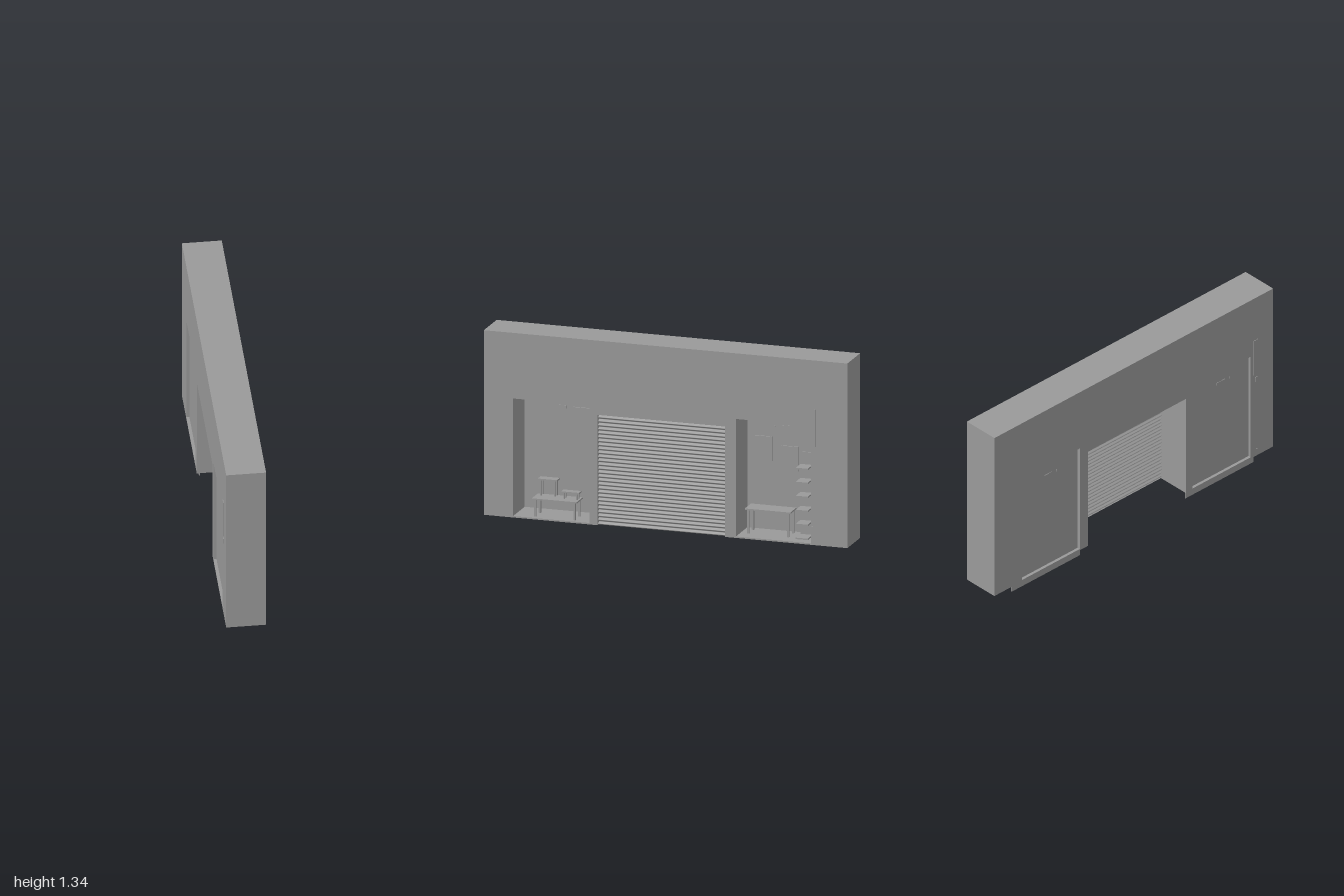
import * as THREE from 'three';

export function createModel() {
  const model = new THREE.Group();
  model.name = 'shopFront';
  const building = new THREE.Group();
  building.name = 'building';
  building.rotation.y = Math.PI / 4; // the wall runs diagonally
  model.add(building);

  const grey = new THREE.MeshStandardMaterial({ color: 0x999999 });
  grey.name = 'plain grey';
  const sheetGrey = new THREE.MeshStandardMaterial({ color: 0x999999, side: THREE.DoubleSide });
  sheetGrey.name = 'plain grey sheet';

  // Box given by its limits along each axis
  function box(name, x0, x1, y0, y1, z0, z1, parent = building) {
    const mesh = new THREE.Mesh(new THREE.BoxGeometry(x1 - x0, y1 - y0, z1 - z0), grey);
    mesh.position.set((x0 + x1) / 2, (y0 + y1) / 2, (z0 + z1) / 2);
    mesh.name = name;
    parent.add(mesh);
    return mesh;
  }

  const half = 0.134;
  const door = { x0: -0.48, x1: 0.42, top: 0.825 };
  const openings = [[-1.074, -0.537], [0.495, 1.026]];

  // Wall with a doorway notch and two display windows
  const outline = new THREE.Shape();
  [[-1.28, 0.06], [door.x0, 0.06], [door.x0, door.top], [door.x1, door.top], [door.x1, 0.06],
    [1.28, 0.06], [1.28, 1.34], [-1.28, 1.34]]
    .forEach(([x, y], i) => (i ? outline.lineTo(x, y) : outline.moveTo(x, y)));
  for (const [x0, x1] of openings) {
    const hole = new THREE.Path();
    hole.moveTo(x0, 0.07);
    hole.lineTo(x0, 0.885);
    hole.lineTo(x1, 0.885);
    hole.lineTo(x1, 0.07);
    outline.holes.push(hole);
  }
  const wallGeometry = new THREE.ExtrudeGeometry(outline, { depth: half * 2, bevelEnabled: false });
  wallGeometry.translate(0, 0, -half);
  const wall = new THREE.Mesh(wallGeometry, grey);
  wall.name = 'wall';
  building.add(wall);

  // Roller shutter: a ribbed sheet near the front of the doorway
  const slats = 28, steps = 6, height = door.top - 0.06;
  const shutterGeometry = new THREE.PlaneGeometry(door.x1 - door.x0, height, 1, slats * steps);
  const p = shutterGeometry.attributes.position;
  for (let i = 0; i < p.count; i++) {
    const phase = (p.getY(i) / height + 0.5) * slats;
    p.setZ(i, 0.008 * Math.sin(phase * Math.PI * 2));
  }
  shutterGeometry.computeVertexNormals();
  const shutter = new THREE.Mesh(shutterGeometry, sheetGrey);
  shutter.name = 'rollerShutter';
  shutter.position.set((door.x0 + door.x1) / 2, 0.06 + height / 2, 0.11);
  building.add(shutter);

  // Back panels of the windows, which reach down below the wall
  for (const x of [-0.808, 0.788]) {
    box('windowBackPanel', x - 0.313, x + 0.313, 0, 0.95, -0.113, -0.107);
  }
  // Small plates high on both faces of each back panel
  for (const x of [-0.82, 0.77]) {
    box('panelPlate', x - 0.04, x + 0.04, 0.78, 0.8, -0.116, -0.104);
    box('panelStud', x - 0.085, x - 0.075, 0.785, 0.795, -0.116, -0.104);
  }

  // Framed boards hung inside the windows
  box('tallBoard', -0.73, -0.61, 0.375, 0.795, -0.107, -0.098);
  box('smallBoard', 0.55, 0.67, 0.545, 0.715, -0.107, -0.098);
  box('smallBoard', 0.735, 0.855, 0.49, 0.66, -0.107, -0.098);

  // Tables: a thin top on four legs
  function table(name, x0, x1, y0, y1, z0, z1, leg) {
    const group = new THREE.Group();
    group.name = name;
    building.add(group);
    box('tableTop', x0, x1, y1 - 0.01, y1, z0, z1, group);
    for (const x of [x0 + 0.012, x1 - 0.012 - leg]) {
      for (const z of [z0 + 0.008, z1 - 0.008 - leg]) {
        box('tableLeg', x, x + leg, y0, y1 - 0.01, z, z + leg, group);
      }
    }
  }
  table('lowTable', -0.95, -0.635, 0.07, 0.198, -0.02, 0.11, 0.014);
  table('tallStand', -0.935, -0.8, 0.198, 0.315, -0.03, 0.03, 0.012);
  table('shortStand', -0.76, -0.635, 0.198, 0.25, 0.01, 0.06, 0.01);
  table('sideTable', 0.53, 0.85, 0.07, 0.245, -0.08, 0.05, 0.014);

  // Shelf unit: an upright panel with shelves reaching forward
  box('shelfPanel', 0.905, 0.99, 0.07, 0.66, -0.006, 0);
  for (let i = 0; i < 6; i++) {
    const y = 0.085 + i * 0.097;
    box('shelf', 0.905, 0.99, y - 0.005, y + 0.005, 0, 0.1);
  }

  // Narrow upright plates on the front and back faces
  box('frontPlate', 1.028, 1.058, 0.74, 1.0, half, half + 0.004);
  box('frontLowerPlate', 1.03, 1.054, 0.08, 0.19, half, half + 0.004);
  box('backPlate', -1.14, -1.1, 0.72, 1.0, -half - 0.004, -half);
  box('backMiddlePlate', -1.14, -1.115, 0.66, 0.7, -half - 0.004, -half);
  box('backLowerPlate', -1.135, -1.12, 0.1, 0.115, -half - 0.004, -half);

  return model;
}
